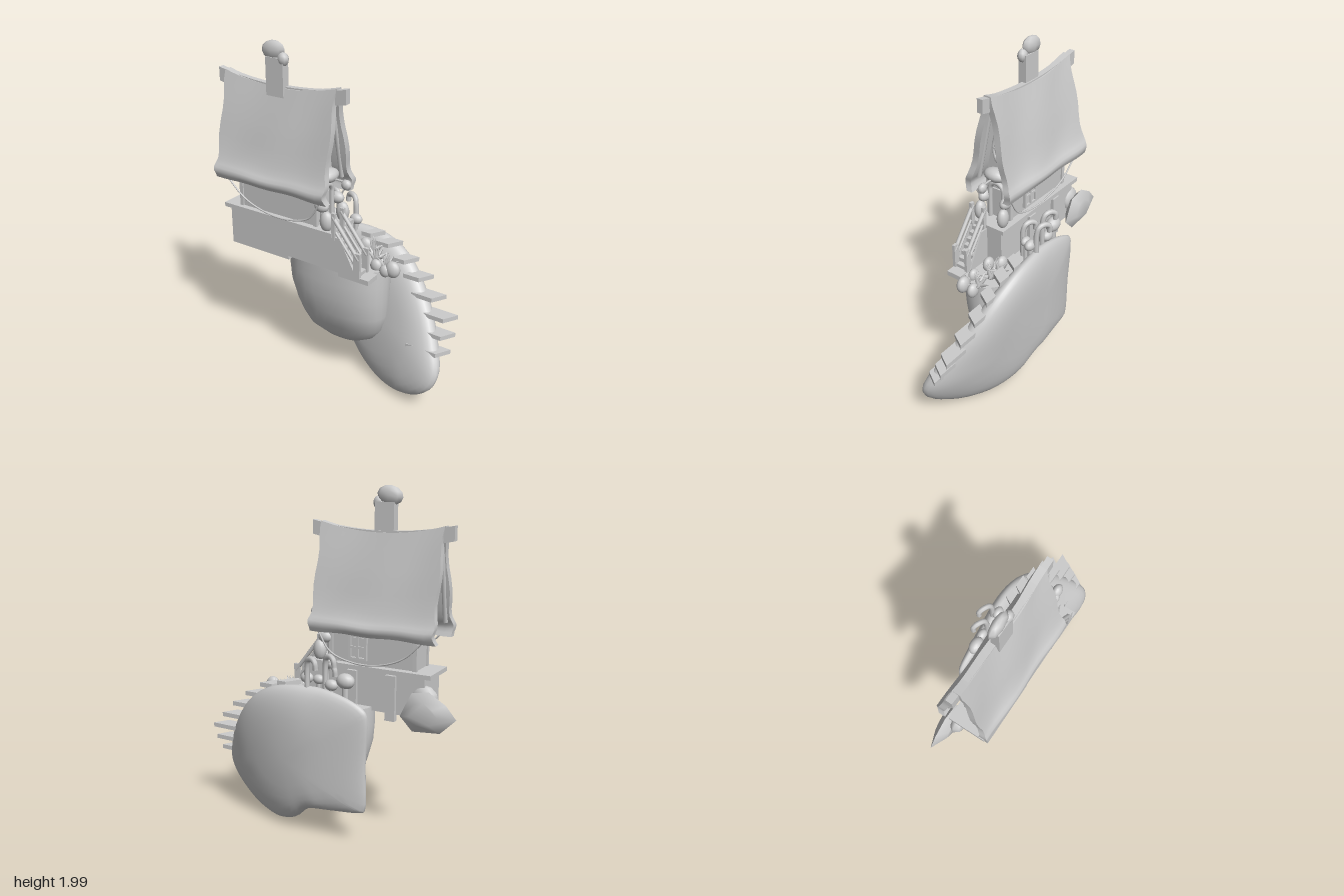
import * as THREE from 'three';
import { toCreasedNormals } from 'three/addons/utils/BufferGeometryUtils.js';
import { ConvexGeometry } from 'three/addons/geometries/ConvexGeometry.js';

const V = (x, y, z) => new THREE.Vector3(x, y, z);
const HOUSE_Z = 0.095;

export function createModel() {
  const model = new THREE.Group();
  const mat = new THREE.MeshStandardMaterial({ color: 0xcccccc, side: THREE.DoubleSide });

  function add(name, geo, x = 0, y = 0, z = 0) {
    const m = new THREE.Mesh(geo, mat);
    m.name = name;
    m.position.set(x, y, z);
    model.add(m);
    return m;
  }
  // box given by its lower and upper limits
  const box = (name, x0, x1, y0, y1, z0, z1) =>
    add(name, new THREE.BoxGeometry(x1 - x0, y1 - y0, z1 - z0), (x0 + x1) / 2, (y0 + y1) / 2, (z0 + z1) / 2);
  const ball = (name, x, y, z, rx, ry, rz, w = 14, h = 10) =>
    add(name, new THREE.SphereGeometry(1, w, h).scale(rx, ry, rz), x, y, z);
  const tube = (name, pts, r, n = 20) =>
    add(name, new THREE.TubeGeometry(new THREE.CatmullRomCurve3(pts), n, r, 7));
  function rod(name, a, b, r) {
    const m = add(name, new THREE.CylinderGeometry(r, r, a.distanceTo(b), 8));
    m.position.copy(a).lerp(b, 0.5);
    m.quaternion.setFromUnitVectors(V(0, 1, 0), b.clone().sub(a).normalize());
  }
  // skin over closed rings of points
  function loft(rings, crease) {
    const n = rings[0].length, index = [];
    for (let j = 0; j < rings.length - 1; j++) for (let i = 0; i < n; i++) {
      const k = (i + 1) % n, a = j * n + i, b = j * n + k, c = a + n, d = b + n;
      index.push(a, c, b, b, c, d);
    }
    const g = new THREE.BufferGeometry().setFromPoints(rings.flat());
    g.setIndex(index);
    return toCreasedNormals(g, crease);
  }
  // outline of [z, y] points extruded along x
  function extrudeX(pts, x0, x1) {
    const s = new THREE.Shape(pts.map(([z, y]) => new THREE.Vector2(-z, y)));
    return new THREE.ExtrudeGeometry(s, { depth: x1 - x0, bevelEnabled: false }).rotateY(Math.PI / 2).translate(x0, 0, 0);
  }

  // back rock: a thick curved shield, its right side sweeping forward and down
  const outline = new THREE.CatmullRomCurve3([
    [-0.32, 0.78], [-0.31, 0.5], [-0.305, 0.225], [-0.28, 0.21], [-0.1, 0.185], [0.06, 0.16], [0.18, 0.06],
    [0.35, 0.005], [0.57, 0.045], [0.725, 0.155], [0.762, 0.26], [0.7, 0.42], [0.58, 0.62], [0.42, 0.8],
    [0.25, 0.89], [0, 0.91], [-0.2, 0.87], [-0.3, 0.82]].map(([x, y]) => V(x, y, 0)), true, 'centripetal').getPoints(72).slice(0, 72);
  const shield = [], center = V(0.2, 0.46, 0);
  for (let j = 0; j <= 18; j++) {
    const t = Math.PI * j / 18, s = Math.pow(Math.max(0, Math.sin(t)), 0.52);
    shield.push(outline.map(p => {
      // rings grow rounder towards the middle of each face
      const d = p.clone().sub(center), round = d.clone().setLength(0.47);
      const { x, y } = d.lerp(round, 1 - s).multiplyScalar(s).add(center);
      const r = Math.max(0, x);
      const mid = -0.17 + 0.25 * Math.pow(r, 1.6) + (0.45 - y) * (0.02 + 0.45 * r);
      const half = 0.075 + 0.06 * Math.min(1, r / 0.5) * (1 - 1.1 * y) - 0.02 * Math.max(0, -x / 0.3);
      return V(x, y, mid + Math.cos(t) * half);
    }));
  }
  add('backRock', loft(shield, 1.2));

  // front rock under the house: [y, xLeft, xRight, zFront, zBack]
  const rows = [[0.79, 0.06, 0.06, 0.03, 0.03], [0.79, -0.26, 0.38, 0.165, -0.17], [0.68, -0.262, 0.382, 0.167, -0.17],
    [0.58, -0.255, 0.378, 0.16, -0.17], [0.46, -0.225, 0.37, 0.14, -0.17], [0.36, -0.195, 0.35, 0.105, -0.16],
    [0.28, -0.165, 0.29, 0.06, -0.15], [0.23, -0.07, 0.21, 0.02, -0.13], [0.21, 0.08, 0.08, -0.05, -0.05]];
  add('frontRock', loft(rows.map(([y, x0, x1, zf, zb]) => Array.from({ length: 32 }, (_, i) => {
    const a = i / 32 * Math.PI * 2, c = Math.cos(a), s = -Math.sin(a), q = v => Math.sign(v) * Math.pow(Math.abs(v), 0.85);
    return V((x0 + x1) / 2 + q(c) * (x1 - x0) / 2, y, (zf + zb) / 2 + q(s) * (zf - zb) / 2);
  })), 1));

  // stone steps winding up the rock: slabs with skewed ends
  [[0.66, 0.365, 0.005, 0.23], [0.675, 0.45, -0.045, 0.2], [0.665, 0.54, -0.085, 0.2], [0.59, 0.63, -0.11, 0.17],
    [0.51, 0.72, -0.13, 0.14], [0.42, 0.8, -0.135, 0.12], [0.31, 0.87, -0.14, 0.12], [0.2, 0.9, -0.145, 0.1]].forEach(([x, y, z, w]) => {
    const g = new THREE.BoxGeometry(w - 0.04, 0.026, 0.085), p = g.attributes.position;
    for (let i = 0; i < p.count; i++) p.setX(i, p.getX(i) - p.getZ(i) * 0.6);
    g.computeVertexNormals();
    add('rockStep', g, x, y, z);
  });

  // house base with stair stringers on the right
  box('base', -0.575, 0.14, 0.79, 1, -0.01, 0.195);
  const stringer = new THREE.Shape([[0.1, 0.79], [0.3, 0.79], [0.19, 1], [0.1, 1]].map(p => new THREE.Vector2(...p)));
  for (const z of [0.185, 0.09]) add('stairStringer', new THREE.ExtrudeGeometry(stringer, { depth: 0.012, bevelEnabled: false }), 0, 0, z);
  box('deck', -0.615, 0.14, 0.995, 1.02, -0.025, 0.205);
  box('floorBeam', -0.575, -0.16, 0.768, 0.795, -0.01, 0.195);
  box('stairLanding', 0.18, 0.375, 0.766, 0.795, 0.1, 0.195);
  for (const x of [-0.38, -0.14]) box('post', x - 0.03, x + 0.03, 0.73, 0.99, -0.03, 0);

  // front stairs and handrails
  for (let i = 0; i < 7; i++) box('stair', 0.13, 0.31 - i * 0.025, 0.79 + i * 0.03, 0.815 + i * 0.03, 0.1, 0.187);
  for (const z of [0.105, 0.19]) {
    rod('handrail', V(0.14, 1.12, z), V(0.31, 0.9, z), 0.012);
    rod('lowerRail', V(0.16, 1.03, z), V(0.31, 0.84, z), 0.008);
    box('railPost', 0.135, 0.16, 0.98, 1.14, z - 0.009, z + 0.009);
    box('railPost', 0.28, 0.32, 0.79, 0.94, z - 0.009, z + 0.009);
  }

  // walls with gables
  add('walls', extrudeX([[0.02, 1.01], [0.17, 1.01], [0.175, 1.3], [HOUSE_Z, 1.7], [0.015, 1.3]], -0.51, 0.02));
  for (const s of [1, -1]) for (const x of [-0.505, 0.015])
    box('cornerPost', x - 0.012, x + 0.012, 1.01, 1.28, HOUSE_Z + s * 0.075 - 0.01, HOUSE_Z + s * 0.075 + 0.01);

  // sagging roof halves with flared eaves: profile as [half width, height]
  const profile = new THREE.CatmullRomCurve3([[0.022, 1.79], [0.048, 1.68], [0.082, 1.53], [0.112, 1.38], [0.138, 1.29], [0.162, 1.24], [0.145, 1.19]]
    .map(([z, y]) => V(0, y, z)));
  for (const s of [1, -1]) {
    const g = new THREE.BoxGeometry(1, 1, 1, 16, 14, 1), p = g.attributes.position;
    for (let i = 0; i < p.count; i++) {
      const u = p.getX(i), v = 0.5 - p.getY(i), c = profile.getPoint(v);
      const ripple = 0.007 * Math.sin(v * 17 + u * 5);
      const sag = -0.05 * (1 - v) * (1 - 4 * u * u) - 0.008 * v * (1 + Math.cos(u * 14)) / 2;
      p.setXYZ(i, u * (0.73 + 0.04 * v * v) + ripple, c.y + sag + 0.008,
        c.z - (p.getZ(i) < 0 ? 0.04 : 0) + 0.004 * Math.sin(u * 11 + v * 4));
    }
    g.computeVertexNormals();
    const m = add('roofHalf', toCreasedNormals(g, 0.8), -0.258, 0, HOUSE_Z);
    if (s < 0) m.rotation.y = Math.PI;
    // barge boards at the gable ends
    for (const x of [-0.6, 0.07])
      rod('bargeBoard', V(x, 1.7, HOUSE_Z + s * 0.012), V(x, 1.27, HOUSE_Z + s * 0.1), 0.014);
    // hanging garland
    tube('garland', [V(-0.57, 1.2, HOUSE_Z + s * 0.125), V(-0.45, 1.09, HOUSE_Z + s * 0.12), V(-0.3, 1.035, HOUSE_Z + s * 0.115),
      V(-0.15, 1.03, HOUSE_Z + s * 0.115), V(0, 1.08, HOUSE_Z + s * 0.12), V(0.08, 1.2, HOUSE_Z + s * 0.125)], 0.005, 30);
  }

  // ridge beam, bent in the middle
  const beam = new THREE.BoxGeometry(0.85, 0.08, 0.036, 16, 1, 1), bp = beam.attributes.position;
  for (let i = 0; i < bp.count; i++) bp.setY(i, bp.getY(i) - 0.045 * (1 - Math.pow(bp.getX(i) / 0.425, 2)));
  beam.computeVertexNormals();
  add('ridgeBeam', beam, -0.255, 1.762, HOUSE_Z);

  // chimney and smoke
  box('chimney', -0.33, -0.215, 1.7, 1.91, 0.085, 0.135);
  ball('smoke', -0.295, 1.945, 0.108, 0.078, 0.053, 0.03, 8, 6).rotation.z = 0.15;
  ball('smoke', -0.225, 1.905, 0.115, 0.035, 0.038, 0.027, 8, 6);

  // right gable: door, arch, awning and oval window
  box('door', 0.015, 0.03, 1.02, 1.2, 0.055, 0.135);
  add('doorArch', new THREE.TorusGeometry(0.047, 0.014, 8, 16, Math.PI).rotateY(Math.PI / 2), 0.04, 1.2, HOUSE_Z);
  for (const s of [1, -1]) {
    rod('doorColumn', V(0.04, 1.02, HOUSE_Z + s * 0.047), V(0.04, 1.2, HOUSE_Z + s * 0.047), 0.014);
    ball('shrub', 0.09, 1.07, HOUSE_Z + s * 0.08, 0.04, 0.06, 0.032);
    ball('shrubTop', 0.055, 1.15, HOUSE_Z + s * 0.075, 0.045, 0.035, 0.03);
  }
  ball('awning', 0.05, 1.305, HOUSE_Z, 0.05, 0.04, 0.072);
  ball('ovalWindow', 0.022, 1.46, HOUSE_Z, 0.012, 0.085, 0.026);
  add('ovalWindowFrame', new THREE.TorusGeometry(0.026, 0.007, 8, 24).scale(1, 2.8, 1).rotateY(Math.PI / 2), 0.03, 1.46, HOUSE_Z);
  box('windowBar', 0.028, 0.038, 1.455, 1.465, 0.07, 0.12);
  tube('lampBracket', [V(0.02, 1.27, HOUSE_Z), V(0.09, 1.29, HOUSE_Z), V(0.15, 1.29, HOUSE_Z)], 0.006);
  ball('lamp', 0.165, 1.275, HOUSE_Z, 0.032, 0.03, 0.024, 8, 6).rotation.z = -0.6;

  // back wall window
  box('backWindow', -0.2, -0.12, 1.06, 1.17, 0.008, 0.02);
  for (const x of [-0.21, -0.16, -0.11]) box('windowBar', x - 0.007, x + 0.007, 1.05, 1.18, 0, 0.02);
  for (const y of [1.05, 1.115, 1.18]) box('windowBar', -0.217, -0.103, y - 0.006, y + 0.006, 0, 0.02);

  // faceted pods below the left end: flat outline with a raised middle
  const podEdge = [[-0.78, 0.81], [-0.72, 0.88], [-0.62, 0.94], [-0.52, 0.92], [-0.455, 0.78], [-0.53, 0.705], [-0.69, 0.72]];
  const podPoints = podEdge.flatMap(([x, y]) => [V(x, y, -0.055),
    ...[-0.09, -0.01].map(z => V(-0.59 + (x + 0.59) * 0.5, 0.82 + (y - 0.82) * 0.55, z))]);
  add('largePod', toCreasedNormals(new ConvexGeometry(podPoints), 0.9));
  ball('smallPod', -0.57, 0.88, 0.01, 0.08, 0.075, 0.045, 8, 6);

  // curled stalks and mushrooms on the back terrace
  [[-0.05, -0.16, 1.1], [0.05, -0.19, 1.08], [0.0, -0.06, 1.02]].forEach(([x, z, top]) =>
    tube('curledStalk', [V(x, 0.8, z), V(x, top - 0.05, z), V(x - 0.012, top - 0.015, z - 0.008), V(x - 0.04, top - 0.005, z - 0.02),
      V(x - 0.07, top - 0.02, z - 0.035), V(x - 0.075, top - 0.06, z - 0.035)], 0.016, 28));
  [[-0.17, -0.15, 0.96, 0.055], [-0.09, -0.165, 0.93, 0.04], [0.07, -0.16, 0.95, 0.04], [0.03, -0.1, 0.93, 0.035]].forEach(([x, z, y, r]) => {
    rod('mushroomStem', V(x, 0.79, z), V(x, y, z), r * 0.35);
    ball('mushroomCap', x, y, z, r, r * 0.8, r * 0.7);
  });

  // garden: rosettes of pointed leaves and round shrubs
  [[0.28, 0.8, -0.04], [0.36, 0.78, -0.02], [0.24, 0.83, -0.07]].forEach(([x, y, z]) => {
    for (let i = 0; i < 9; i++) {
      const a = i * 2.4, t = 0.25 + (i % 3) * 0.4;
      const tip = V(Math.cos(a) * Math.sin(t), Math.cos(t), Math.sin(a) * Math.sin(t));
      const leaf = add('leaf', new THREE.ConeGeometry(0.017, 0.09, 6).translate(0, 0.045, 0), x, y, z);
      leaf.quaternion.setFromUnitVectors(V(0, 1, 0), tip);
    }
  });
  [[0.43, 0.81, 0.03, 0.045], [0.39, 0.795, 0.045, 0.033], [0.41, 0.78, -0.02, 0.04], [0.33, 0.81, 0.04, 0.035],
    [0.22, 0.83, 0.02, 0.04], [0.2, 0.86, -0.06, 0.04]].forEach(([x, y, z, r]) => ball('gardenShrub', x, y, z, r, r * 1.1, r * 0.7));

  return model;
}
